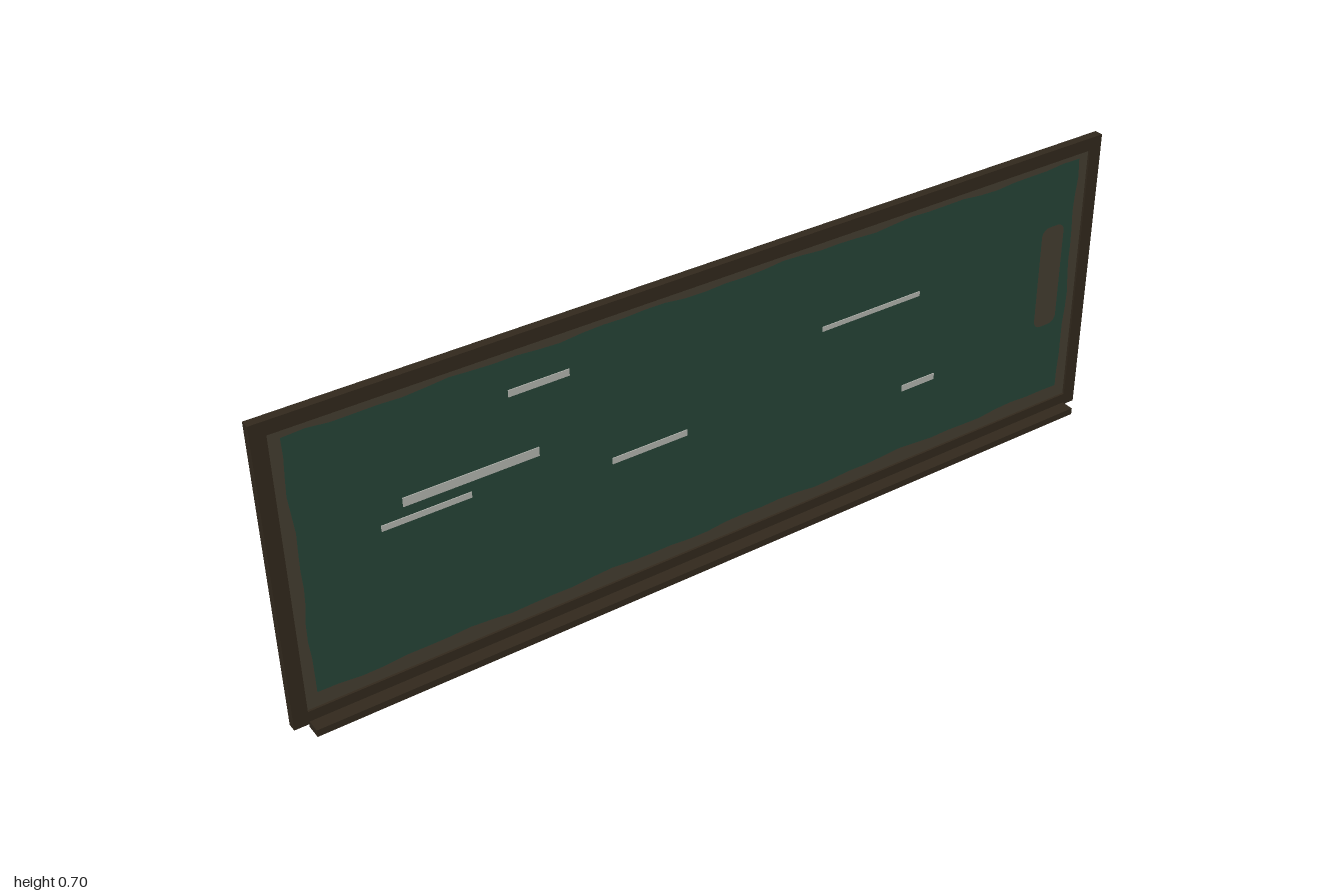
import * as THREE from 'three';

export function createModel() {
  const group = new THREE.Group();
  const mat = (name, color) => {
    const m = new THREE.MeshStandardMaterial({ color });
    m.name = name;
    return m;
  };
  const wood = mat('dark wood', 0x32291d);
  const slate = mat('green slate', 0x264538);
  const grime = mat('brown grime', 0x453e30);
  const chalk = mat('chalk', 0xb4b6b0);

  const add = (name, geometry, material, x = 0, y = 0, z = 0) => {
    const mesh = new THREE.Mesh(geometry, material);
    mesh.name = name;
    mesh.position.set(x, y, z);
    group.add(mesh);
    return mesh;
  };

  const rectangle = (Type, x0, y0, x1, y1) => new Type([
    new THREE.Vector2(x0, y0), new THREE.Vector2(x1, y0),
    new THREE.Vector2(x1, y1), new THREE.Vector2(x0, y1),
  ]);

  // Opening of the frame
  const L = -0.968, R = 0.968, B = 0.04, T = 0.67;

  // Wooden frame
  const frame = rectangle(THREE.Shape, -1, 0.01, 1, 0.70);
  frame.holes.push(rectangle(THREE.Path, L, B, R, T));
  add('frame', new THREE.ExtrudeGeometry(frame, { depth: 0.02, bevelEnabled: false }), wood, 0, 0, -0.025);

  // Writing board, set back in front and almost flush behind
  const boardFront = -0.011;
  add('board', new THREE.BoxGeometry(R - L, T - B, 0.0135), slate, 0, (T + B) / 2, boardFront - 0.00675);

  // Chalk tray
  add('chalkTray', new THREE.BoxGeometry(1.935, 0.016, 0.035), wood, 0, 0.008, 0.0085);

  // Worn border with a slightly wavy inner edge
  const wave = (t) => 0.003 * Math.sin(t * 17) + 0.002 * Math.sin(t * 41 + 1);
  const x0 = -0.942, x1 = 0.943, y0 = 0.072, y1 = 0.652;
  const inner = [];
  const side = (steps, from, to, point) => {
    for (let i = 0; i < steps; i++) inner.push(new THREE.Vector2(...point(from + (to - from) * i / steps)));
  };
  side(40, x0, x1, (x) => [x, y0 + wave(x)]);
  side(14, y0, y1, (y) => [x1 + wave(y + 2), y]);
  side(40, x1, x0, (x) => [x, y1 + wave(x + 4)]);
  side(14, y1, y0, (y) => [x0 + wave(y + 6), y]);
  const border = rectangle(THREE.Shape, L, B, R, T);
  border.holes.push(new THREE.Path(inner));
  add('wornBorder', new THREE.ShapeGeometry(border), grime, 0, 0, boardFront + 0.001);

  // Rounded smudge near the end of the board
  const smudge = new THREE.Shape();
  const w = 0.032, h = 0.127, r = 0.02;
  smudge.absarc(w - r, h - r, r, 0, Math.PI / 2);
  smudge.absarc(r - w, h - r, r, Math.PI / 2, Math.PI);
  smudge.absarc(r - w, r - h, r, Math.PI, Math.PI * 1.5);
  smudge.absarc(w - r, r - h, r, Math.PI * 1.5, Math.PI * 2);
  add('smudge', new THREE.ShapeGeometry(smudge), grime, 0.885, 0.38, boardFront + 0.001);

  // Chalk strokes: start x, end x, height on the board, thickness
  const strokes = [
    [-0.493, -0.36, 0.577, 0.015],
    [-0.727, -0.435, 0.425, 0.02],
    [-0.775, -0.585, 0.385, 0.013],
    [-0.272, -0.094, 0.337, 0.014],
    [0.246, 0.505, 0.462, 0.011],
    [0.47, 0.56, 0.235, 0.015],
  ];
  for (const [a, b, y, t] of strokes) {
    add('chalkStroke', new THREE.BoxGeometry(b - a, t, 0.002), chalk, (a + b) / 2, y, boardFront + 0.001);
  }

  return group;
}
